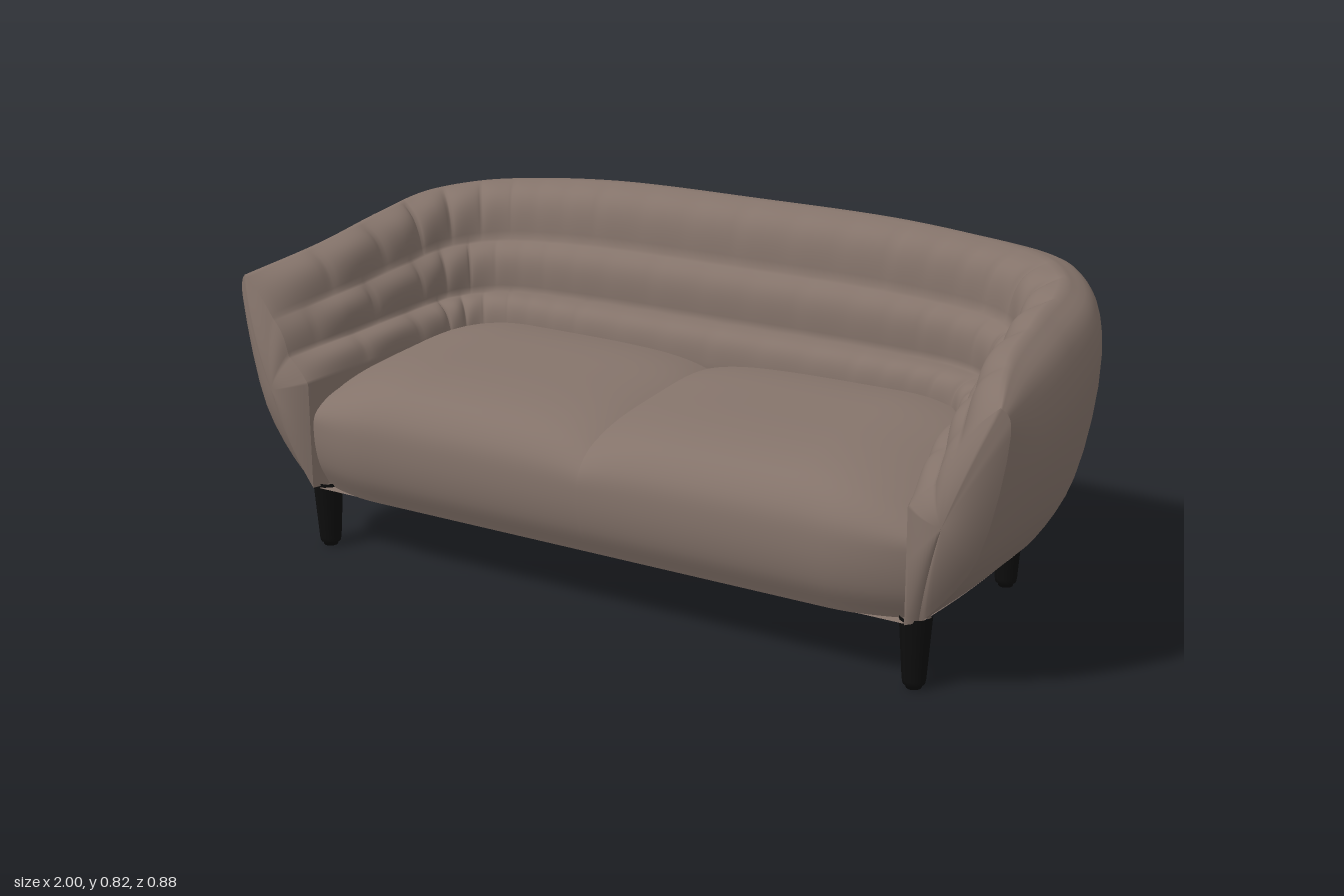
import * as THREE from 'three';

const V = (x, y, z) => new THREE.Vector3(x, y, z);
const clamp = (v) => Math.min(1, Math.max(0, v));

// Smooth surface from a rule: i runs along, j runs across
function grid(ni, nj, rule, flip = false) {
  const pos = [], idx = [];
  for (let i = 0; i <= ni; i++) for (let j = 0; j <= nj; j++) pos.push(...rule(i, j).toArray());
  for (let i = 0; i < ni; i++) for (let j = 0; j < nj; j++) {
    const a = i * (nj + 1) + j, b = a + nj + 1, c = b + 1, d = a + 1;
    if (flip) idx.push(a, c, b, a, d, c);
    else idx.push(a, b, c, a, c, d);
  }
  const g = new THREE.BufferGeometry();
  g.setAttribute('position', new THREE.Float32BufferAttribute(pos, 3));
  g.setIndex(idx);
  g.computeVertexNormals();
  return g;
}

// Stations from the left arm front to the middle of the back:
// base x,z | widest x,y,z | top x,y,z | foot of padding x,y,z
const stations = [
  [0.83, 0.38, 1.0, 0.61, 0.385, 0.98, 0.66, 0.395, 0.79, 0.42, 0.405],
  [0.84, 0.2, 0.99, 0.55, 0.2, 0.915, 0.705, 0.2, 0.735, 0.44, 0.2],
  [0.84, 0, 0.98, 0.56, 0, 0.89, 0.745, 0, 0.70, 0.45, 0],
  [0.83, -0.17, 0.955, 0.62, -0.19, 0.87, 0.77, -0.17, 0.68, 0.45, -0.05],
  [0.77, -0.28, 0.875, 0.68, -0.33, 0.80, 0.782, -0.28, 0.65, 0.45, -0.09],
  [0.68, -0.325, 0.78, 0.71, -0.41, 0.71, 0.79, -0.335, 0.58, 0.455, -0.11],
  [0.4, -0.33, 0.42, 0.72, -0.437, 0.42, 0.815, -0.35, 0.38, 0.455, -0.115],
  [0, -0.33, 0, 0.72, -0.437, 0, 0.82, -0.35, 0, 0.455, -0.115],
];
const last = stations.length - 1;

// Mirrored guide curve running round the whole sofa
function guide(pick) {
  const half = stations.map(pick);
  const other = half.slice(0, last).reverse().map((p) => V(-p.x, p.y, p.z));
  return new THREE.CatmullRomCurve3([...half, ...other]);
}
const baseCurve = guide((s) => V(s[0], 0.155, s[1]));
const wideCurve = guide((s) => V(s[2], s[3], s[4]));
const topCurve = guide((s) => V(s[5], s[6], s[7]));
const footCurve = guide((s) => V(s[8], s[9], s[10]));

const OUTER = 22, ROLL = 12;
const SECTION = OUTER + ROLL * 3 + 2;

// Cross-section: outer skin, rounded top, three padded rolls, hidden inside
function section(u) {
  const B = baseCurve.getPoint(u), O = wideCurve.getPoint(u);
  const T = topCurve.getPoint(u), I = footCurve.getPoint(u);
  const s = last * (1 - Math.abs(2 * u - 1));
  const back = clamp((s - 3) / 2);
  const inset = V(B.x * 0.97, 0.155, B.z * 0.97);
  const rim = B.clone().setY(0.178);
  const mid = B.clone().lerp(O, 0.62 - 0.25 * back).setY(0.32);
  const shoulder = O.clone().lerp(T, 0.3);
  shoulder.y = O.y + (T.y - O.y) * 0.7;
  const outer = new THREE.CatmullRomCurve3([inset, rim, mid, O, shoulder, T]);
  const pts = outer.getPoints(OUTER);

  const dir = V(I.x - T.x, 0, I.z - T.z);
  const width = dir.length();
  dir.normalize().multiplyScalar(0.65).setY(0.75);
  const seam = (g, h) => V(T.x + (I.x - T.x) * g, T.y + (I.y - T.y) * h, T.z + (I.z - T.z) * g);
  const seams = [T, seam(0.45, 0.39), seam(0.69, 0.75), I];
  const column = s < 5 ? 1.2 * s : 6 + 3 * (s - 5);
  const taper = 0.35 + 0.65 * clamp(s / 0.8);
  for (let r = 0; r < 3; r++) {
    const puff = Math.sqrt(Math.abs(Math.sin(Math.PI * (column + (r % 2) * 0.5))));
    const dip = (0.6 - 0.48 * back) * (1 - puff);
    const bulge = (r === 0 ? 0.045 : 0.032) * taper * Math.min(1.1, width / 0.235) * (1 - dip);
    for (let k = 1; k <= ROLL; k++) {
      const t = k / ROLL;
      pts.push(seams[r].clone().lerp(seams[r + 1], t)
        .addScaledVector(dir, bulge * Math.sin(Math.PI * t)));
    }
  }
  pts.push(I.clone().setY(0.3), I.clone().setY(0.16));
  return pts;
}

// Slightly domed panel closing the front of an arm
function armFront(u, side) {
  const rim = section(u);
  rim.push(rim[0].clone());
  const centre = V(side * 0.88, 0.4, 0.39), n = 10;
  return grid(n, SECTION + 1, (i, j) => {
    const r = i / n;
    const p = centre.clone().lerp(rim[j], r);
    p.z += 0.045 * (1 - r * r);
    return p;
  }, side < 0);
}

// Half of the seat: front and top in one curve, falling away at the sides
function seatHalf(side) {
  const profile = new THREE.CatmullRomCurve3([
    [0.155, 0.395], [0.22, 0.428], [0.3, 0.44], [0.37, 0.43], [0.425, 0.385],
    [0.457, 0.3], [0.48, 0.1], [0.487, -0.05], [0.47, -0.2],
  ].map(([y, z]) => V(0, y, z)));
  const line = profile.getPoints(40);
  return grid(44, 40, (i, j) => {
    const x = 0.82 * Math.pow(i / 44, 1.3);
    const p = line[j].clone();
    const q = clamp((p.y - 0.32) / 0.12);
    const e = clamp((x - 0.52) / 0.3), f = clamp((x - 0.6) / 0.22);
    p.y -= q * (0.03 * Math.exp(-x / 0.09) + 0.07 * e * e);
    p.z -= 0.06 * f * f * clamp((p.z + 0.1) / 0.3);
    p.x = side * x;
    return p;
  }, side > 0 ? false : true);
}

export function createModel() {
  const sofa = new THREE.Group();
  sofa.name = 'sofa';
  const leather = new THREE.MeshStandardMaterial({ color: 0x84736a });
  leather.name = 'taupe leather';
  leather.side = THREE.DoubleSide;
  const black = new THREE.MeshStandardMaterial({ color: 0x0d0d0d });
  black.name = 'black wood';
  const add = (geometry, material, name) => {
    const mesh = new THREE.Mesh(geometry, material);
    mesh.name = name;
    sofa.add(mesh);
    return mesh;
  };

  // Wraparound arms and back
  const steps = 280;
  const rings = Array.from({ length: steps + 1 }, (_, i) => section(i / steps));
  add(grid(steps, SECTION, (i, j) => rings[i][j]), leather, 'armsAndBack');
  add(armFront(0, 1), leather, 'leftArmFront');
  add(armFront(1, -1), leather, 'rightArmFront');

  // Seat
  add(seatHalf(1), leather, 'leftSeat');
  add(seatHalf(-1), leather, 'rightSeat');

  // Underside
  const outline = baseCurve.getPoints(84).map((p) => new THREE.Vector2(p.x * 0.975, p.z * 0.975));
  outline.push(new THREE.Vector2(-0.78, 0.39), new THREE.Vector2(0.78, 0.39));
  const under = new THREE.ShapeGeometry(new THREE.Shape(outline));
  under.rotateX(Math.PI / 2);
  add(under, leather, 'underside').position.y = 0.156;

  // Tapered legs with a small foot pad
  const legProfile = [[0, 0], [0.017, 0], [0.018, 0.008], [0.024, 0.01], [0.026, 0.02], [0.036, 0.165]]
    .map(([r, y]) => new THREE.Vector2(r, y));
  const leg = new THREE.LatheGeometry(legProfile, 16);
  const places = [
    ['frontLeftLeg', 0.79, 0.35], ['frontRightLeg', -0.79, 0.35], ['middleLeg', 0, -0.025],
    ['backLeftLeg', 0.72, -0.27], ['backRightLeg', -0.72, -0.27],
  ];
  for (const [name, x, z] of places) add(leg, black, name).position.set(x, 0, z);
  return sofa;
}
